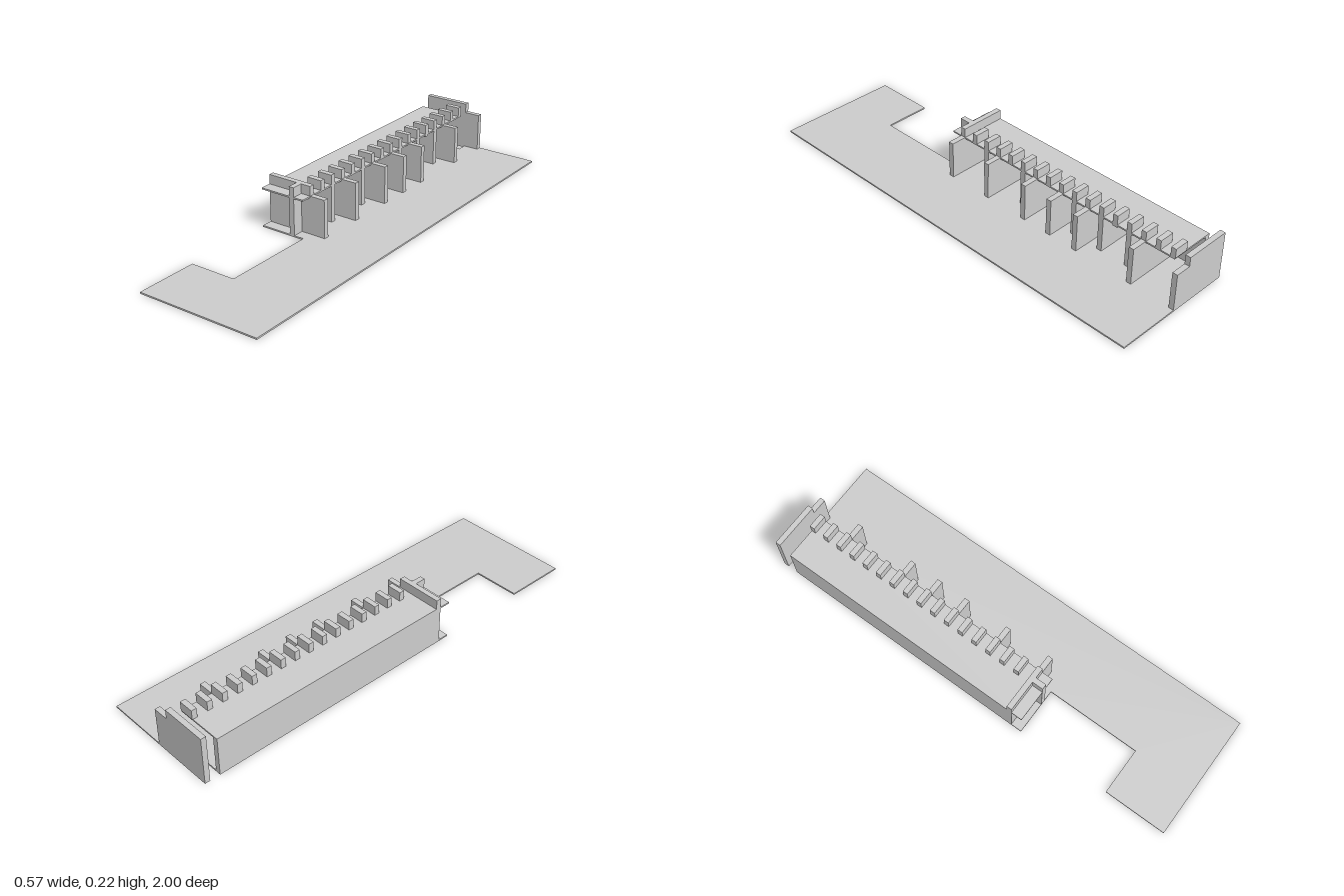
import * as THREE from 'three';

const PITCH = 1 / 14;      // spacing of the teeth along z
const WALL = 0.024;        // wall thickness
const SLAB = 0.007;        // floor and shelf thickness
const LEFT = -0.286, EDGE = -0.072, RIGHT = 0.286;
const SHELF_TOP = 0.179, TOP = 0.222;

export function createModel() {
  const model = new THREE.Group();
  const material = new THREE.MeshStandardMaterial({ color: 0xcccccc, flatShading: true });

  const add = (name, geometry) => {
    const mesh = new THREE.Mesh(geometry, material);
    mesh.name = name;
    model.add(mesh);
    return mesh;
  };
  // Box given by its limits on each axis
  const box = (name, x0, x1, y0, y1, z0, z1) =>
    add(name, new THREE.BoxGeometry(x1 - x0, y1 - y0, z1 - z0))
      .position.set((x0 + x1) / 2, (y0 + y1) / 2, (z0 + z1) / 2);
  const extrude = (points, depth) => new THREE.ExtrudeGeometry(
    new THREE.Shape(points.map(([x, y]) => new THREE.Vector2(x, y))),
    { depth, bevelEnabled: false });

  // Floor outline (x, -z) with a wide notch and a narrow one at the rear
  const floor = extrude([
    [LEFT, -1], [RIGHT, -1], [RIGHT, 1], [EDGE, 1], [EDGE, 0.93], [LEFT, 0.93],
    [LEFT, -0.284], [EDGE, -0.284], [EDGE, -0.715], [LEFT, -0.715],
  ], SLAB);
  floor.rotateX(-Math.PI / 2);
  add('floor', floor);

  // Stepped walls closing the front and the rear
  const step = [
    [LEFT, 0], [0, 0], [0, SHELF_TOP], [EDGE, SHELF_TOP], [EDGE, TOP], [LEFT, TOP],
  ];
  add('frontWall', extrude(step, WALL)).position.z = 0.21;
  add('rearWall', extrude(step, WALL)).position.z = -1;

  // Long side wall, shelf and front fin
  box('sideWall', LEFT, LEFT + WALL, SLAB, SHELF_TOP - SLAB, -0.93, 0.21);
  box('shelf', LEFT, EDGE, SHELF_TOP - SLAB, SHELF_TOP, -0.93, 0.284);
  box('frontFin', -0.142, -0.118, 0, TOP, 0.234, 0.284);

  // Teeth on the shelf; long and short partitions hang below some of them
  const long = [3, 6, 8, 10, 14], short = [2, 5, 9, 11, 13];
  for (let k = 1; k <= 16; k++) {
    const z0 = 0.21 - k * PITCH, z1 = z0 + WALL;
    box('tooth', -0.142, EDGE, k === 12 ? 0.165 : SHELF_TOP, TOP, z0, z1);
    if (long.includes(k)) {
      box('longPartition', LEFT + WALL, EDGE, SLAB, SHELF_TOP - SLAB, z0, z1);
      box('longPartitionEnd', EDGE, 0, SLAB, SHELF_TOP, z0, z1);
    } else if (short.includes(k)) {
      box('shortPartition', LEFT + WALL, EDGE, SLAB, SHELF_TOP - SLAB, z0, z1);
    }
  }
  return model;
}
